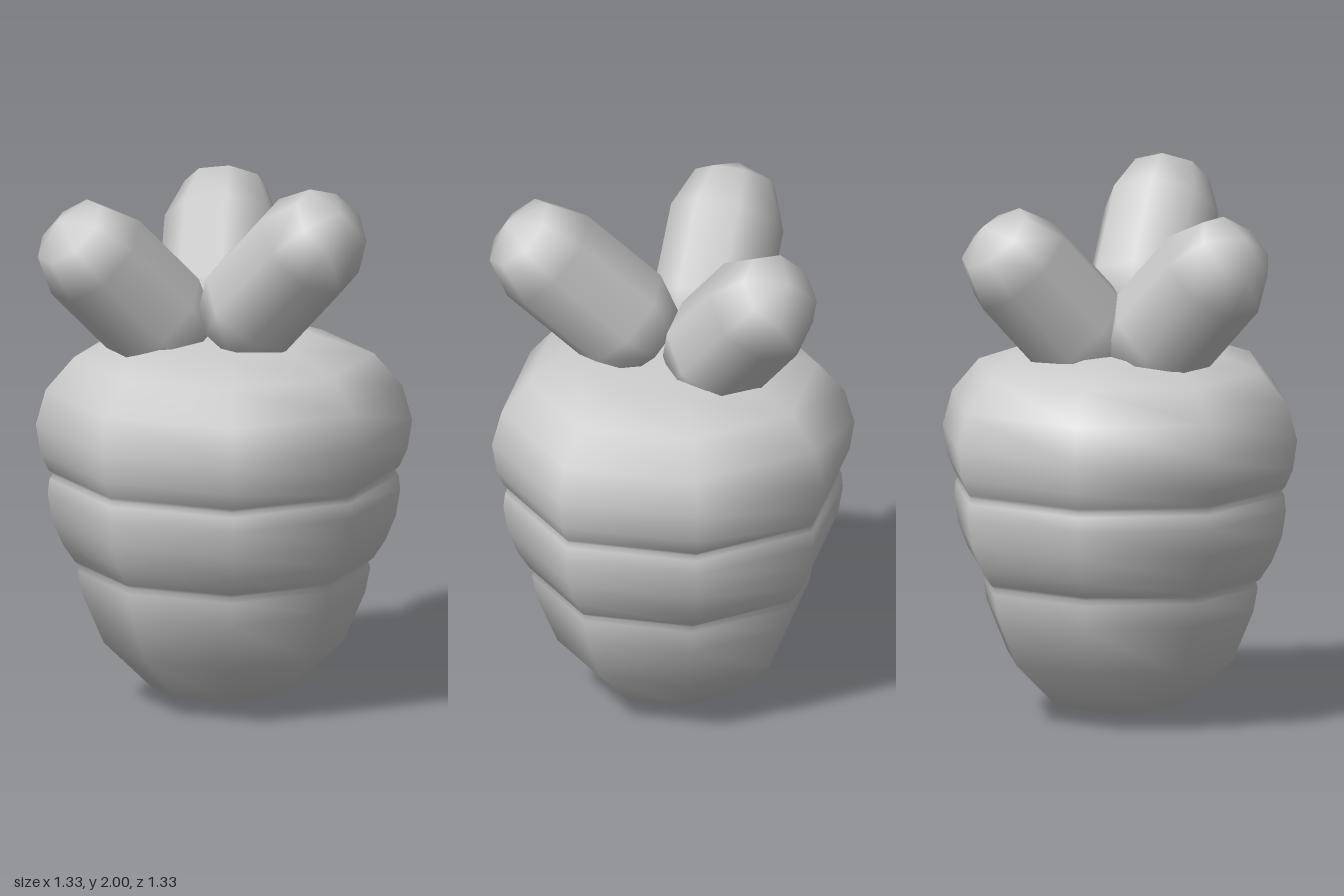
import * as THREE from 'three';

const material = new THREE.MeshStandardMaterial({ color: 0xcccccc });

// Eight-sided root with three stacked bulges
function createRoot() {
  const profile = [
    [0, 0.005], [0.26, 0.065], [0.425, 0.23], [0.5, 0.41], [0.517, 0.5], [0.51, 0.52],
    [0.528, 0.535], [0.57, 0.6], [0.607, 0.69], [0.623, 0.79], [0.617, 0.845], [0.605, 0.862],
    [0.62, 0.878], [0.648, 0.94], [0.665, 1.05], [0.63, 1.18], [0.53, 1.3], [0.33, 1.37], [0, 1.385],
  ].map(([r, y]) => new THREE.Vector2(r, y));
  const geometry = new THREE.LatheGeometry(profile, 8);
  // Push the diagonal corners out slightly
  const p = geometry.attributes.position;
  for (let i = 0; i < p.count; i++) {
    const x = p.getX(i), z = p.getZ(i);
    if (Math.abs(x) > 0.01 && Math.abs(z) > 0.01) p.setXYZ(i, x * 1.03, p.getY(i), z * 1.03);
  }
  const root = new THREE.Mesh(geometry, material);
  root.name = 'root';
  return root;
}

// Rounded leaf stalk between the centres of its two end caps
function createLeaf(name, from, to) {
  const a = new THREE.Vector3(...from);
  const b = new THREE.Vector3(...to);
  const axis = b.clone().sub(a);
  const leaf = new THREE.Mesh(new THREE.CapsuleGeometry(0.213, axis.length(), 2, 8), material);
  leaf.position.copy(a).add(b).multiplyScalar(0.5);
  leaf.quaternion.setFromUnitVectors(new THREE.Vector3(0, 1, 0), axis.normalize());
  leaf.name = name;
  return leaf;
}

export function createModel() {
  const model = new THREE.Group();
  model.name = 'carrot';
  model.add(
    createRoot(),
    createLeaf('frontLeaf', [-0.04, 1.53, 0.19], [-0.04, 1.79, 0.455]),
    createLeaf('leftLeaf', [0.125, 1.455, -0.15], [0.305, 1.7, -0.28]),
    createLeaf('rightLeaf', [-0.2, 1.46, -0.16], [-0.415, 1.7, -0.255]),
  );
  return model;
}
